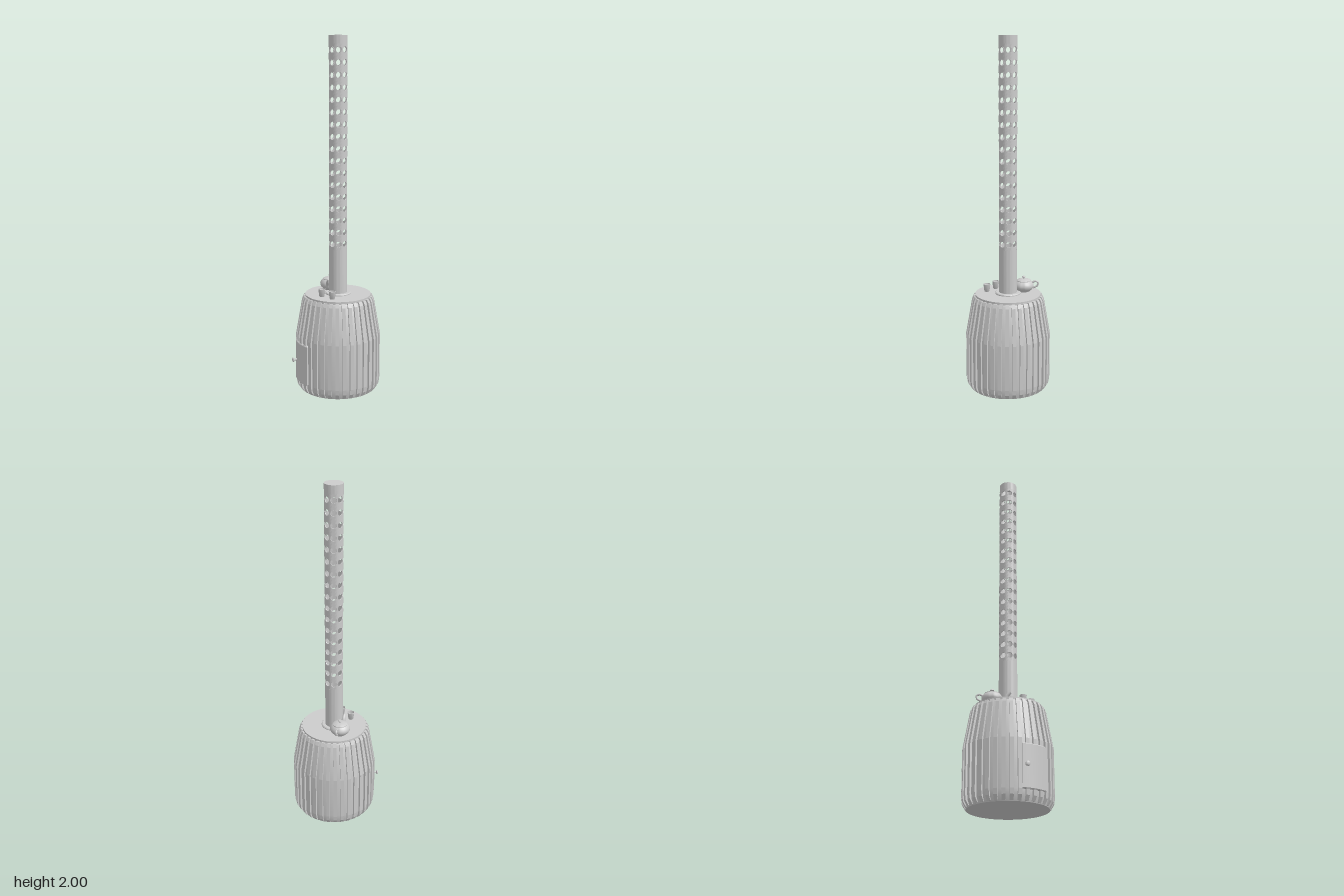
import * as THREE from 'three';
import { mergeGeometries, toCreasedNormals } from 'three/addons/utils/BufferGeometryUtils.js';

const material = new THREE.MeshStandardMaterial({ color: 0xcccccc, side: THREE.DoubleSide });
const V2 = (p) => new THREE.Vector2(p[0], p[1]);
const V3 = (p) => new THREE.Vector3(p[0], p[1], p[2]);

function add(parent, name, geometry, x = 0, y = 0, z = 0) {
  const mesh = new THREE.Mesh(geometry, material);
  mesh.name = name;
  mesh.position.set(x, y, z);
  parent.add(mesh);
  return mesh;
}

// turned part with sharp edges kept
const lathe = (points, segments = 48) =>
  toCreasedNormals(new THREE.LatheGeometry(points.map(V2), segments), 0.6);

const tube = (points, radius) =>
  new THREE.TubeGeometry(new THREE.CatmullRomCurve3(points.map(V3)), 20, radius, 10);

// one pipe cell: a rectangle with a round hole, wrapped onto the pipe
function pipeCell(R, height, holeRadius, count) {
  const g = new THREE.PlaneGeometry(1, 1, 24, 3);
  const p = g.attributes.position;
  const halfW = (Math.PI * R) / count;
  for (let i = 0; i < p.count; i++) {
    const a = -p.getX(i) * Math.PI * 2;
    const t = Math.round((p.getY(i) + 0.5) * 3); // 0 = inner rim, 1 = hole edge, 3 = cell edge
    const c = Math.cos(a), s = Math.sin(a);
    const k = 1 / Math.max(Math.abs(c), Math.abs(s));
    const blend = Math.max(0, (t - 1) / 2);
    const x = THREE.MathUtils.lerp(c * holeRadius, c * k * halfW, blend);
    const y = THREE.MathUtils.lerp(s * holeRadius, (s * k * height) / 2, blend);
    const r = t === 0 ? R - 0.005 : R;
    p.setXYZ(i, Math.sin(x / R) * r, y, Math.cos(x / R) * r);
  }
  return toCreasedNormals(g, 0.6);
}

function buildBody(parent) {
  add(parent, 'body', lathe([
    [0, 0], [0.217, 0], [0.228, 0.03], [0.231, 0.06], [0.231, 0.32], [0.194, 0.53],
    [0.187, 0.54], [0.187, 0.555], [0, 0.555],
  ], 72));

  // vertical ribs following the barrel profile
  const rib = new THREE.Shape([
    [0.2, 0.004], [0.222, 0.004], [0.238, 0.03], [0.242, 0.06], [0.242, 0.32],
    [0.206, 0.525], [0.196, 0.545], [0.18, 0.545], [0.215, 0.32],
  ].map(V2));
  const ribGeometry = new THREE.ExtrudeGeometry(rib, { depth: 0.02, bevelEnabled: false });
  ribGeometry.translate(0, 0, -0.01);
  const ribs = new THREE.Group();
  ribs.name = 'ribs';
  for (let i = 0; i < 36; i++) {
    add(ribs, 'rib', ribGeometry).rotation.y = THREE.MathUtils.degToRad(i * 10 - 2.5);
  }
  parent.add(ribs);
}

function buildDoor(parent) {
  const door = new THREE.Group();
  door.name = 'door';
  // curved panel, an arc extruded upwards
  const arc = new THREE.Shape();
  const from = THREE.MathUtils.degToRad(180 + 10.5), to = THREE.MathUtils.degToRad(180 + 43);
  arc.absarc(0, 0, 0.244, from, to, false);
  arc.absarc(0, 0, 0.222, to, from, true);
  const panel = new THREE.ExtrudeGeometry(arc, {
    depth: 0.224, curveSegments: 16, bevelThickness: 0.004, bevelSize: 0.003, bevelSegments: 1,
  });
  panel.rotateX(-Math.PI / 2);
  panel.scale(1, 1, -1);
  // restore the face order after the mirror
  const flip = panel.attributes.position;
  for (let i = 0; i < flip.count; i += 3) {
    const a = V3([flip.getX(i), flip.getY(i), flip.getZ(i)]);
    flip.setXYZ(i, flip.getX(i + 1), flip.getY(i + 1), flip.getZ(i + 1));
    flip.setXYZ(i + 1, a.x, a.y, a.z);
  }
  // the arc lies on the -x, +z side
  if (flip.getZ(0) < 0) panel.rotateY(THREE.MathUtils.degToRad(53.5));
  add(door, 'doorPanel', toCreasedNormals(panel, 0.5), 0, 0.064, 0);

  // knob pointing outwards
  const knobGeometry = lathe([
    [0, 0], [0.009, 0], [0.007, 0.006], [0.005, 0.012], [0.005, 0.018],
    [0.013, 0.022], [0.013, 0.026], [0.008, 0.03], [0, 0.031],
  ], 20);
  knobGeometry.rotateZ(Math.PI / 2);
  const angle = THREE.MathUtils.degToRad(15);
  add(door, 'doorKnob', knobGeometry, -0.242 * Math.cos(angle), 0.18, 0.242 * Math.sin(angle))
    .rotation.y = angle;
  parent.add(door);
}

function buildPipe(parent) {
  const R = 0.051, pitch = 0.067, rows = 17, count = 8, first = 0.85;
  const low = first - pitch / 2, high = low + rows * pitch;
  add(parent, 'collar', lathe([
    [0.073, 0.553], [0.073, 0.56], [0.069, 0.564], [0.051, 0.564],
  ]));
  add(parent, 'lowerPipe', lathe([[R, 0.555], [R, low]]));
  add(parent, 'pipeTop', lathe([[R, high], [R, 2], [0, 2]]));

  // rows of round holes
  const cell = pipeCell(R, pitch, 0.0165, count);
  const cells = [];
  for (let j = 0; j < rows; j++) {
    for (let i = 0; i < count; i++) {
      cells.push(cell.clone().rotateY(((i + 0.08) * Math.PI * 2) / count)
        .translate(0, first + j * pitch, 0));
    }
  }
  add(parent, 'perforatedPipe', mergeGeometries(cells));
}

function buildTeapot(parent) {
  const pot = new THREE.Group();
  pot.name = 'teapot';
  pot.position.set(-0.032, 0.555, -0.092);
  pot.rotation.y = -0.17;
  add(pot, 'potBody', lathe([
    [0, 0], [0.036, 0], [0.038, 0.004], [0.05, 0.014], [0.057, 0.026], [0.058, 0.036],
    [0.054, 0.047], [0.046, 0.057], [0.04, 0.061],
  ], 40));
  add(pot, 'lid', lathe([
    [0.041, 0.06], [0.041, 0.064], [0.036, 0.067], [0.02, 0.072], [0.005, 0.074],
    [0.006, 0.078], [0.011, 0.082], [0.009, 0.087], [0, 0.089],
  ], 32));
  // spout: a tube narrowing towards its tip
  const path = new THREE.CatmullRomCurve3(
    [[0, 0.02, 0.045], [0, 0.027, 0.068], [0, 0.05, 0.08], [0, 0.07, 0.1]].map(V3));
  const spout = new THREE.TubeGeometry(path, 16, 1, 14);
  const p = spout.attributes.position, n = spout.attributes.normal;
  for (let i = 0; i < p.count; i++) {
    const t = Math.floor(i / 15) / 16;
    const k = 1 - THREE.MathUtils.lerp(0.017, 0.007, t);
    p.setXYZ(i, p.getX(i) - n.getX(i) * k, p.getY(i) - n.getY(i) * k, p.getZ(i) - n.getZ(i) * k);
  }
  add(pot, 'spout', spout);
  add(pot, 'handle', tube([
    [0, 0.052, -0.048], [0, 0.06, -0.068], [0, 0.054, -0.083], [0, 0.036, -0.08], [0, 0.02, -0.052],
  ], 0.0055));
  parent.add(pot);
}

export function createModel() {
  const model = new THREE.Group();
  model.name = 'stove';
  const stove = new THREE.Group();
  stove.name = 'stoveBody';
  stove.position.x = 0.012;
  model.add(stove);
  buildBody(stove);
  buildDoor(stove);
  buildPipe(stove);
  buildTeapot(model);

  // two small hollow cups
  const cup = lathe([
    [0, 0], [0.013, 0], [0.015, 0.004], [0.02, 0.044], [0.018, 0.045], [0.013, 0.008], [0, 0.006],
  ], 28);
  for (const [x, z] of [[-0.081, 0.07], [-0.023, 0.121]]) add(model, 'cup', cup, x, 0.555, z);
  return model;
}
